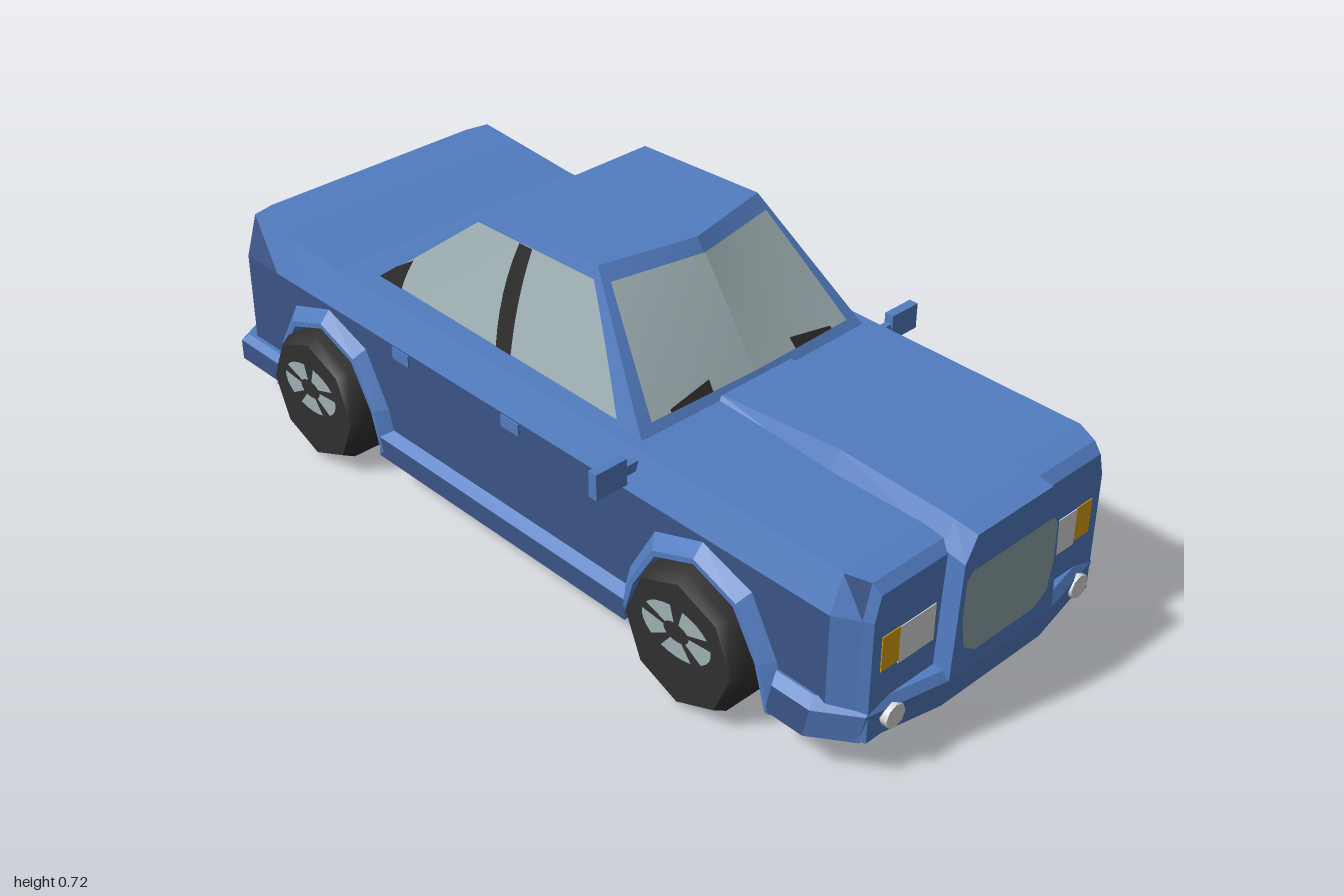
import * as THREE from 'three';
import { toCreasedNormals } from 'three/addons/utils/BufferGeometryUtils.js';

const material = (name, color) => new THREE.MeshStandardMaterial({ name, color });
const paint = material('bodyPaint', 0x527cc0);
const darkPaint = material('lowerBodyPaint', 0x3c5488);
const glass = material('paleGlass', 0x9fb0b3);
const mesh = material('grilleGrey', 0x91a5aa);
const rubber = material('tyreRubber', 0x303030);
const black = material('blackTrim', 0x2a2a2a);
const white = material('lampWhite', 0xdcdcdc);
const amber = material('lampAmber', 0xdaa010);
const red = material('lampRed', 0xa80c0c);
const twoTone = [paint, darkPaint];

// Skins a row of closed rings; each ring runs counterclockwise seen from the first end.
// Faces whose normal passes isDark go into the second material group.
function loft(rings, isDark = () => false) {
  const tones = [[], []];
  const face = new THREE.Triangle();
  const normal = new THREE.Vector3();
  const tri = (a, b, c) => {
    face.set(new THREE.Vector3(...a), new THREE.Vector3(...b), new THREE.Vector3(...c)).getNormal(normal);
    tones[isDark(normal) ? 1 : 0].push(...a, ...b, ...c);
  };
  const n = rings[0].length;
  for (let i = 0; i < rings.length - 1; i++) {
    const a = rings[i], b = rings[i + 1];
    for (let j = 0; j < n; j++) {
      const k = (j + 1) % n;
      tri(a[j], b[j], a[k]);
      tri(a[k], b[j], b[k]);
    }
  }
  const cap = (ring, flip) => {
    const mid = [0, 1, 2].map(c => ring.reduce((s, p) => s + p[c], 0) / n);
    ring.forEach((p, j) => {
      const q = ring[(j + 1) % n];
      flip ? tri(mid, q, p) : tri(mid, p, q);
    });
  };
  cap(rings[0], false);
  cap(rings[rings.length - 1], true);
  const geo = new THREE.BufferGeometry();
  geo.setAttribute('position', new THREE.Float32BufferAttribute([...tones[0], ...tones[1]], 3));
  geo.addGroup(0, tones[0].length / 3, 0);
  geo.addGroup(tones[0].length / 3, tones[1].length / 3, 1);
  geo.computeVertexNormals();
  return geo;
}

// Completes a ring from its +x half, or moves a whole ring to the other side
const flipped = ring => ring.map(([x, y, z]) => [-x, y, z]).reverse();
const mirrored = half => [...half, ...flipped(half)];

// Bilinear panel over a four-cornered face, or over the part of it given by uv corners
const rect = (u0, u1, v0, v1) => [[u0, v0], [u1, v0], [u1, v1], [u0, v1]];
const blend = (q, u, v) => q[0].map((_, c) =>
  (q[0][c] * (1 - u) + q[1][c] * u) * (1 - v) + (q[3][c] * (1 - u) + q[2][c] * u) * v);
function panel(quad, side, uv = rect(0, 1, 0, 1), lift = 0) {
  const [a, b, , d] = quad.map(p => new THREE.Vector3(...p));
  const normal = b.sub(a).cross(d.sub(a)).normalize().multiplyScalar(lift);
  const geo = new THREE.PlaneGeometry(1, 1, 6, 6);
  const pos = geo.attributes.position;
  for (let i = 0; i < pos.count; i++) {
    const u = 0.5 + side * pos.getX(i), v = 0.5 + pos.getY(i);
    const [x, y, z] = blend(quad, ...blend(uv, u, v));
    pos.setXYZ(i, side * (x + normal.x), y + normal.y, z + normal.z);
  }
  geo.computeVertexNormals();
  return geo;
}

export function createModel() {
  const car = new THREE.Group();
  car.name = 'car';
  const add = (name, geo, mat, x = 0, y = 0, z = 0) => {
    const part = new THREE.Mesh(geo, mat);
    part.name = name;
    part.position.set(x, y, z);
    car.add(part);
  };
  const box = (name, mat, w, h, d, x, y, z) => add(name, new THREE.BoxGeometry(w, h, d), mat, x, y, z);

  // Lower body: cross-sections from nose to tail, with the underside rising over the wheels
  const wheelZ = [0.565, -0.61];
  const wholeArch = half => [...half, ...half.slice(0, 3).reverse().map(([d, y]) => [-d, y])];
  const archInner = wholeArch([[0.195, 0.09], [0.165, 0.19], [0.105, 0.29], [0, 0.33]]);
  const archOuter = wholeArch([[0.23, 0.09], [0.2, 0.2], [0.13, 0.325], [0, 0.37]]);
  const section = (z, w, ws, yb, yt, zTop = z, yMid = 0.38) =>
    mirrored([[w, yb, z], [w, yMid, z], [ws, yt, zTop]]);
  const rings = [
    section(0.955, 0.335, 0.32, 0.1, 0.435),
    section(0.935, 0.345, 0.325, 0.1, 0.455),
    section(0.885, 0.375, 0.345, 0.1, 0.46),
  ];
  for (const wz of wheelZ) {
    for (const [d, y] of archInner) {
      const z = wz + d;
      rings.push(section(z, 0.375, 0.345, y, z < -0.6 ? 0.455 + (-0.6 - z) * 0.07 : 0.46));
    }
  }
  rings.push(section(-0.92, 0.375, 0.345, 0.1, 0.477));
  rings.push(section(-0.973, 0.295, 0.29, 0.1, 0.475, -0.935, 0.36));
  rings.push(section(-0.973, 0.295, 0.293, 0.1, 0.415, -0.961, 0.36));
  // Sides, tail and underside are the darker tone
  add('lowerBody', loft(rings, n => n.y < 0.3 && n.z < 0.4), twoTone);

  // Raised bonnet centre with the upright nose
  const hump = [
    [0.996, 0.155, 0.14, 0.11, 0.17, 0.43, 0.483], [0.94, 0.155, 0.14, 0.11, 0.17, 0.44, 0.49],
    [0.939, 0.145, 0.14, 0.11, 0.4, 0.44, 0.49], [0.66, 0.14, 0.135, 0.107, 0.4, 0.45, 0.5],
    [0.34, 0.125, 0.12, 0.1, 0.4, 0.45, 0.468],
  ];
  add('bonnetCentre', loft(hump.map(([z, w0, w1, w2, y0, y1, y2]) =>
    mirrored([[w0, y0, z], [w1, y1, z], [w2, y2, z]]))), twoTone);
  const grille = new THREE.Shape([[-0.09, 0.21], [0.09, 0.21], [0.125, 0.235], [0.136, 0.3], [0.134, 0.39],
    [0.12, 0.408], [-0.12, 0.408], [-0.134, 0.39], [-0.136, 0.3], [-0.125, 0.235]]
    .map(p => new THREE.Vector2(...p)));
  add('grille', new THREE.ShapeGeometry(grille), mesh, 0, 0, 0.999);

  // Bumpers
  const bumper = (name, plan, levels) => add(name, loft(levels.map(([y, dx, dz]) =>
    mirrored(plan.map(([x, z]) => [x - dx, y, z - dz]))),
  n => Math.abs(n.x) > 0.9 || n.y < -0.5), twoTone);
  bumper('frontBumper', [[0.15, 0.993], [0.34, 0.955], [0.4, 0.87], [0.4, 0.775]],
    [[0.185, 0.02, 0.008], [0.165, 0, 0], [0.095, 0, 0.014]]);
  bumper('rearBumper', [[0.4, -0.805], [0.4, -0.95], [0.31, -1]],
    [[0.165, 0.015, -0.012], [0.15, 0, 0], [0.1, 0, 0]]);

  // Cabin corners and faces (+x half)
  const F0 = [0, 0.46, 0.345], F1 = [0.32, 0.46, 0.34], T0 = [0, 0.72, 0.165], T1 = [0.225, 0.72, 0.115];
  const R0 = [0, 0.45, -0.57], R1 = [0.295, 0.45, -0.57], T2 = [0.225, 0.706, -0.225], T3 = [0, 0.706, -0.225];
  const faces = {
    windscreenFrame: [F0, F1, T1, T0],
    sideFrame: [F1, R1, T2, T1],
    roof: [T0, T1, T2, T3],
    rearFrame: [R1, R0, T3, T2],
  };

  // Tyre profile: radius and offset along the axle
  const tyre = new THREE.LatheGeometry([[0, -0.08], [0.145, -0.08], [0.157, -0.055], [0.157, 0.055],
    [0.143, 0.08], [0, 0.08]].map(p => new THREE.Vector2(...p)), 8);
  const tyreGeo = toCreasedNormals(tyre, 0.9);

  for (const s of [1, -1]) {
    const side = s > 0 ? 'left' : 'right';
    const placed = ring => (s > 0 ? ring : flipped(ring));
    for (const [name, quad] of Object.entries(faces)) add(side + name, panel(quad, s), paint);

    // Windows, door pillar, quarter trim and wipers
    const pane = (name, face, uv, mat, lift = 0.004) => add(side + name, panel(faces[face], s, uv, lift), mat);
    pane('Windscreen', 'windscreenFrame', [[0, 0.07], [0.9, 0.07], [0.93, 0.89], [0, 0.89]], glass);
    pane('Wiper', 'windscreenFrame', [[0.38, 0.07], [0.74, 0.07], [0.74, 0.09], [0.38, 0.15]], black, 0.007);
    pane('SideWindow', 'sideFrame', [[0.07, 0.05], [0.95, 0.05], [0.95, 0.9], [0.05, 0.9]], glass);
    pane('DoorPillar', 'sideFrame', [[0.44, 0.05], [0.495, 0.05], [0.61, 0.9], [0.51, 0.9]], black, 0.007);
    pane('QuarterTrim', 'sideFrame', [[0.865, 0.05], [0.955, 0.05], [0.955, 0.2], [0.94, 0.33]], black, 0.007);
    pane('RearWindow', 'rearFrame', [[0.08, 0.04], [1, 0.04], [1, 0.96], [0.05, 0.96]], glass);

    // Sill with a sloping top
    add(side + 'Sill', loft([0.375, -0.42].map(z => placed([[0.34, 0.085, z], [0.4, 0.085, z],
      [0.4, 0.135, z], [0.372, 0.152, z], [0.34, 0.152, z]])),
    n => Math.abs(n.x) > 0.9 || n.y < -0.5), twoTone);

    // Door handles
    for (const z of [0.01, -0.35]) box(side + 'DoorHandle', paint, 0.01, 0.028, 0.055, s * 0.374, 0.363, z);

    // Door mirror
    box(side + 'MirrorStalk', paint, 0.07, 0.022, 0.015, s * 0.37, 0.432, 0.358);
    box(side + 'MirrorShell', paint, 0.08, 0.06, 0.022, s * 0.425, 0.434, 0.358);
    box(side + 'MirrorGlass', glass, 0.066, 0.046, 0.004, s * 0.425, 0.434, 0.346);

    // Front lamps
    box(side + 'Headlamp', white, 0.1, 0.085, 0.004, s * 0.212, 0.292, 0.955);
    box(side + 'Indicator', amber, 0.048, 0.08, 0.004, s * 0.286, 0.296, 0.955);
    const fog = new THREE.CylinderGeometry(0.027, 0.027, 0.018, 8).rotateX(Math.PI / 2);
    add(side + 'FogLamp', fog, white, s * 0.278, 0.145, 0.966);

    // Tail lamps on the angled rear corners: black surround, red lenses, white band
    const corner = [[0.375, 0.18, -0.92], [0.295, 0.18, -0.973], [0.295, 0.3, -0.973], [0.375, 0.3, -0.92]];
    add(side + 'TailLampSurround', panel(corner, s, rect(0.04, 0.74, 0, 1), 0.002), black);
    add(side + 'TailLamp', panel(corner, s, rect(0.09, 0.69, 0.05, 0.95), 0.004), red);
    add(side + 'ReversingLamp', panel(corner, s, rect(0.15, 0.63, 0.4, 0.62), 0.006), white);

    for (const z of wheelZ) {
      // Wheel arch flare, bevelled back to the body side
      add(side + 'ArchFlare', loft(archInner.map(([d, y], i) => {
        const [dOut, yOut] = archOuter[i];
        const at = (x, t) => [x, y + (yOut - y) * t, z + d + (dOut - d) * t];
        return placed([at(0.36, 0), at(0.4, 0), at(0.4, 0.3), at(0.374, 1), at(0.36, 1)]);
      })), twoTone);

      // Wheel with pale openings between the spokes
      add(side + 'Tyre', tyreGeo.clone().rotateZ(-s * Math.PI / 2), rubber, s * 0.36, 0.16, z);
      for (let i = 0; i < 5; i++) {
        const hole = new THREE.RingGeometry(0.034, 0.094, 4, 1, -Math.PI / 2 - 0.45 + i * Math.PI * 0.4, 0.9);
        add(side + 'HubOpening', hole.scale(1, 0.62, 1).rotateY(s * Math.PI / 2), glass, s * 0.443, 0.19, z);
      }
    }
  }

  // Axles
  for (const z of wheelZ) {
    add('axle', new THREE.CylinderGeometry(0.035, 0.035, 0.6, 10).rotateZ(Math.PI / 2), rubber, 0, 0.16, z);
  }

  // Rear number panel and boot latch
  box('numberPanelSurround', black, 0.207, 0.127, 0.003, 0, 0.258, -0.973);
  box('numberPanel', glass, 0.193, 0.113, 0.006, 0, 0.257, -0.973);
  box('bootLatch', paint, 0.03, 0.03, 0.008, 0, 0.348, -0.972);
  return car;
}
